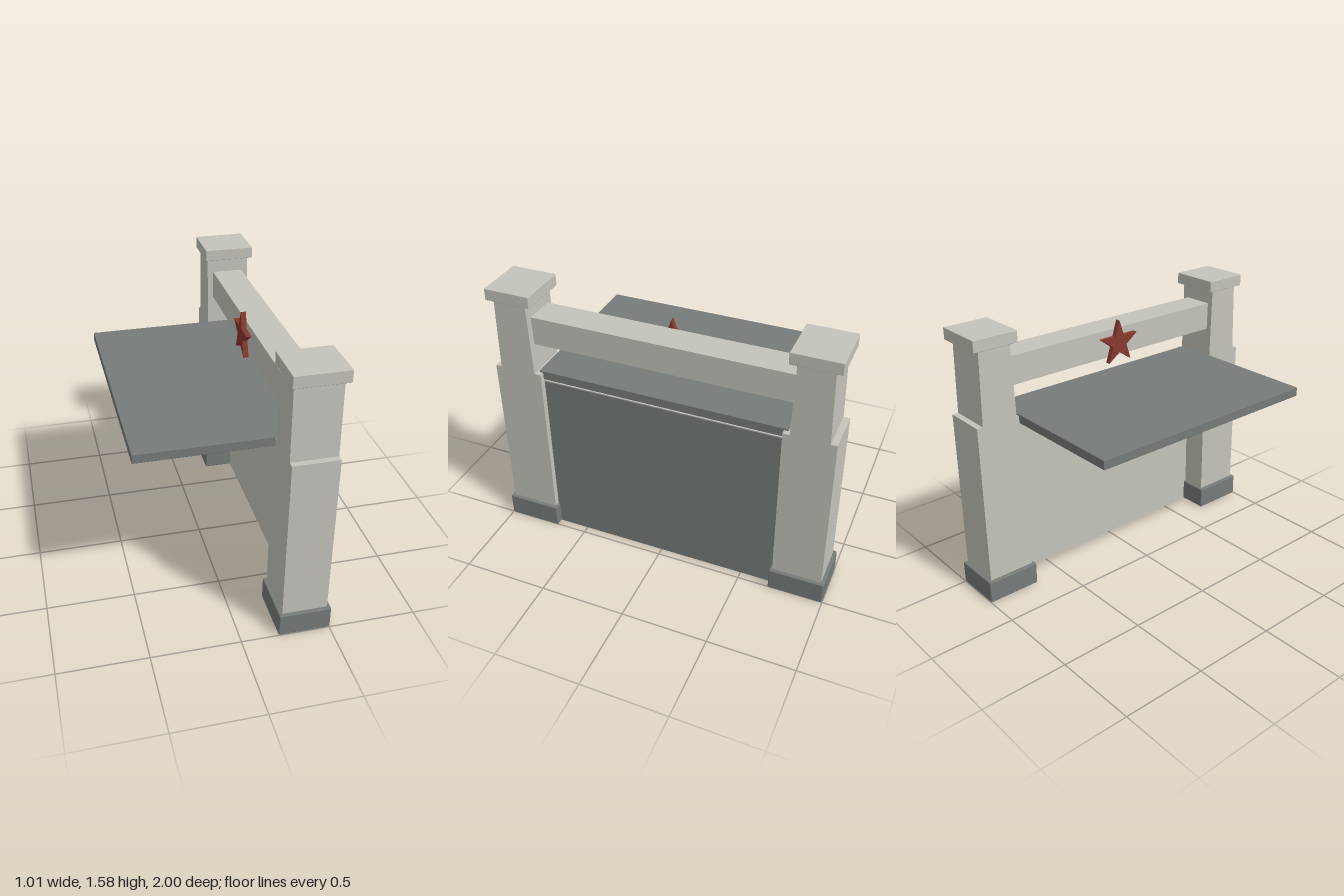
import * as THREE from 'three';
import { RoundedBoxGeometry } from 'three/addons/geometries/RoundedBoxGeometry.js';

const material = (name, color) => {
  const m = new THREE.MeshStandardMaterial({ color });
  m.name = name;
  return m;
};

export function createModel() {
  const stone = material('paleStone', 0xc4c3bb);
  const slate = material('greySlate', 0x767b79);
  const red = material('darkRed', 0x86382f);
  const model = new THREE.Group();
  model.name = 'counterGate';

  const add = (parent, name, geometry, mat) => {
    const mesh = new THREE.Mesh(geometry, mat);
    mesh.name = name;
    parent.add(mesh);
    return mesh;
  };
  // Box given by its limits on each axis
  const box = (parent, name, mat, [x0, x1], [y0, y1], [z0, z1], bevel = 0) => {
    const size = [x1 - x0, y1 - y0, z1 - z0];
    const g = bevel ? new RoundedBoxGeometry(...size, 2, bevel) : new THREE.BoxGeometry(...size);
    g.translate((x0 + x1) / 2, (y0 + y1) / 2, (z0 + z1) / 2);
    return add(parent, name, g, mat);
  };

  // Two posts: plinth, wide shaft, tapered upper shaft and cap
  for (const side of [1, -1]) {
    const post = new THREE.Group();
    post.name = side > 0 ? 'frontPost' : 'backPost';
    const z = (a, b) => (side > 0 ? [a, b] : [-b, -a]);
    box(post, 'plinth', slate, [0.21, 0.505], [0, 0.135], z(0.68, 1), 0.008);
    box(post, 'lowerShaft', stone, [0.23, 0.485], [0.01, 1.09], z(0.695, 0.98));
    const upper = new THREE.BoxGeometry(0.255, 0.43, 0.212);
    const p = upper.attributes.position;
    for (let i = 0; i < p.count; i++) if (p.getY(i) > 0) p.setZ(i, p.getZ(i) * 0.9);
    upper.computeVertexNormals();
    add(post, 'upperShaft', upper, stone).position.set(0.3575, 1.3, side * 0.839);
    box(post, 'cap', stone, [0.21, 0.505], [1.512, 1.58], z(0.706, 0.972), 0.003);
    model.add(post);
  }

  // Wall panel with a slate facing on its outer side
  box(model, 'wallPanel', stone, [0.385, 0.453], [0, 1.04], [-0.7, 0.7]);
  box(model, 'panelFacing', slate, [0.453, 0.456], [0, 1.035], [-0.69, 0.69]);

  // Counter slab and crossbeam
  box(model, 'counterSlab', slate, [-0.51, 0.456], [1.047, 1.1], [-0.718, 0.718], 0.003);
  box(model, 'crossbeam', stone, [0.265, 0.445], [1.26, 1.425], [-0.745, 0.745]);

  // Five-pointed star on the counter side of the beam
  const star = new THREE.Shape();
  for (let i = 0; i < 10; i++) {
    const r = i % 2 ? 0.053 : 0.135;
    const a = Math.PI / 2 + (i * Math.PI) / 5;
    star[i ? 'lineTo' : 'moveTo'](r * Math.cos(a), r * Math.sin(a));
  }
  star.closePath();
  const starGeometry = new THREE.ExtrudeGeometry(star, { depth: 0.03, bevelEnabled: false });
  starGeometry.rotateY(-Math.PI / 2);
  add(model, 'star', starGeometry, red).position.set(0.266, 1.34, 0);

  return model;
}
